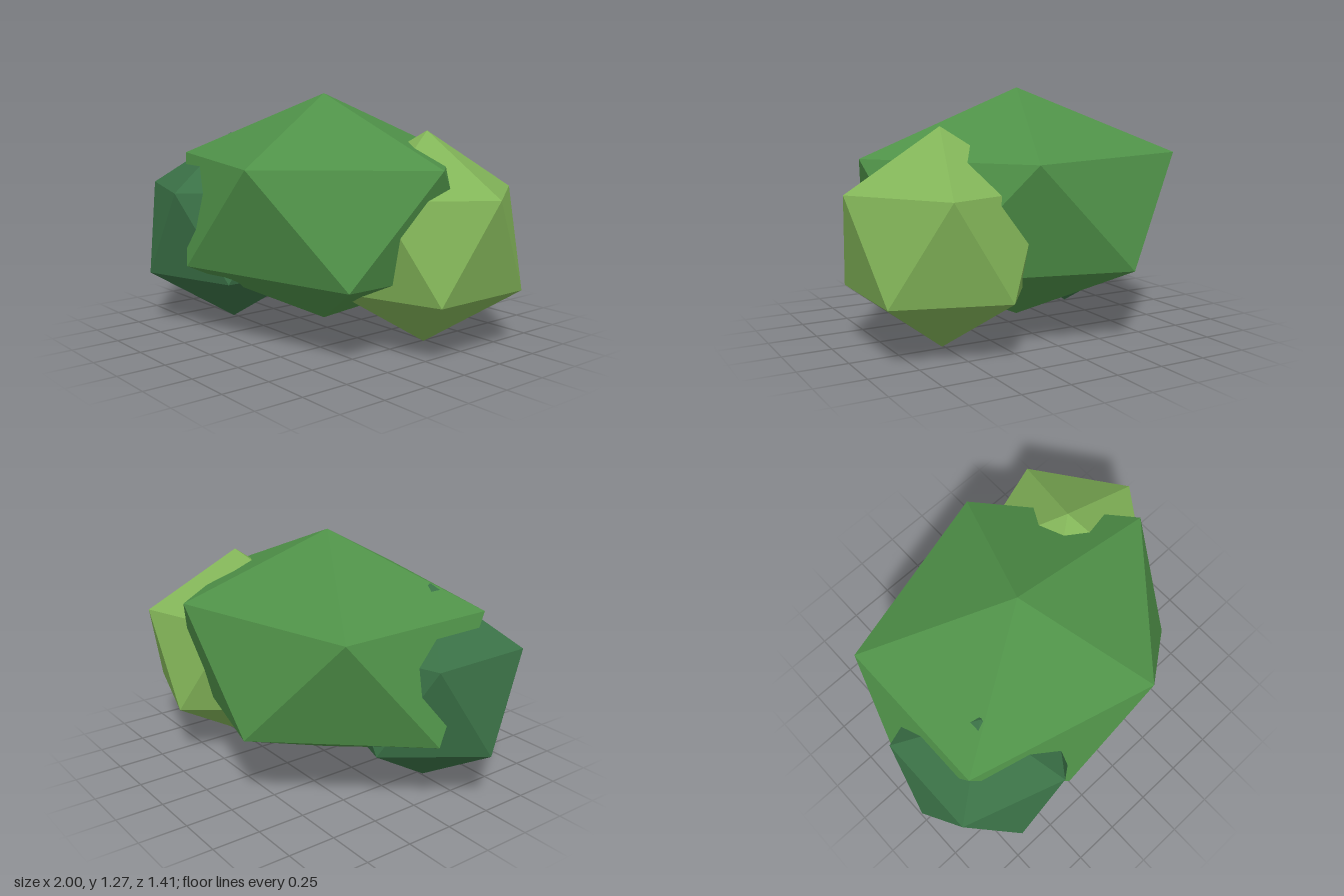
import * as THREE from 'three';

function leafMaterial(name, color) {
  const m = new THREE.MeshStandardMaterial({ color, flatShading: true });
  m.name = name;
  return m;
}

// Twenty-sided clump standing on one corner, with an upper-ring corner on +x
function clump(name, material, radii, position) {
  const geometry = new THREE.IcosahedronGeometry(1, 0);
  geometry.rotateZ(-Math.atan(2 / (1 + Math.sqrt(5))));
  geometry.scale(...radii);
  const mesh = new THREE.Mesh(geometry, material);
  mesh.name = name;
  mesh.position.set(...position);
  return mesh;
}

export function createModel() {
  const bush = new THREE.Group();
  bush.name = 'bush';
  bush.add(
    // wide middle clump
    clump('mainFoliage', leafMaterial('midGreen', 0x4f9148),
      [0.984, 0.613, 0.817], [-0.04, 0.659, -0.01]),
    // small clump at the front right
    clump('darkFoliage', leafMaterial('darkGreen', 0x3a7146),
      [0.525, 0.525, 0.525], [-0.53, 0.525, 0.26]),
    // small clump at the back left
    clump('lightFoliage', leafMaterial('lightGreen', 0x82b458),
      [0.547, 0.547, 0.547], [0.51, 0.547, -0.23]),
  );
  return bush;
}
